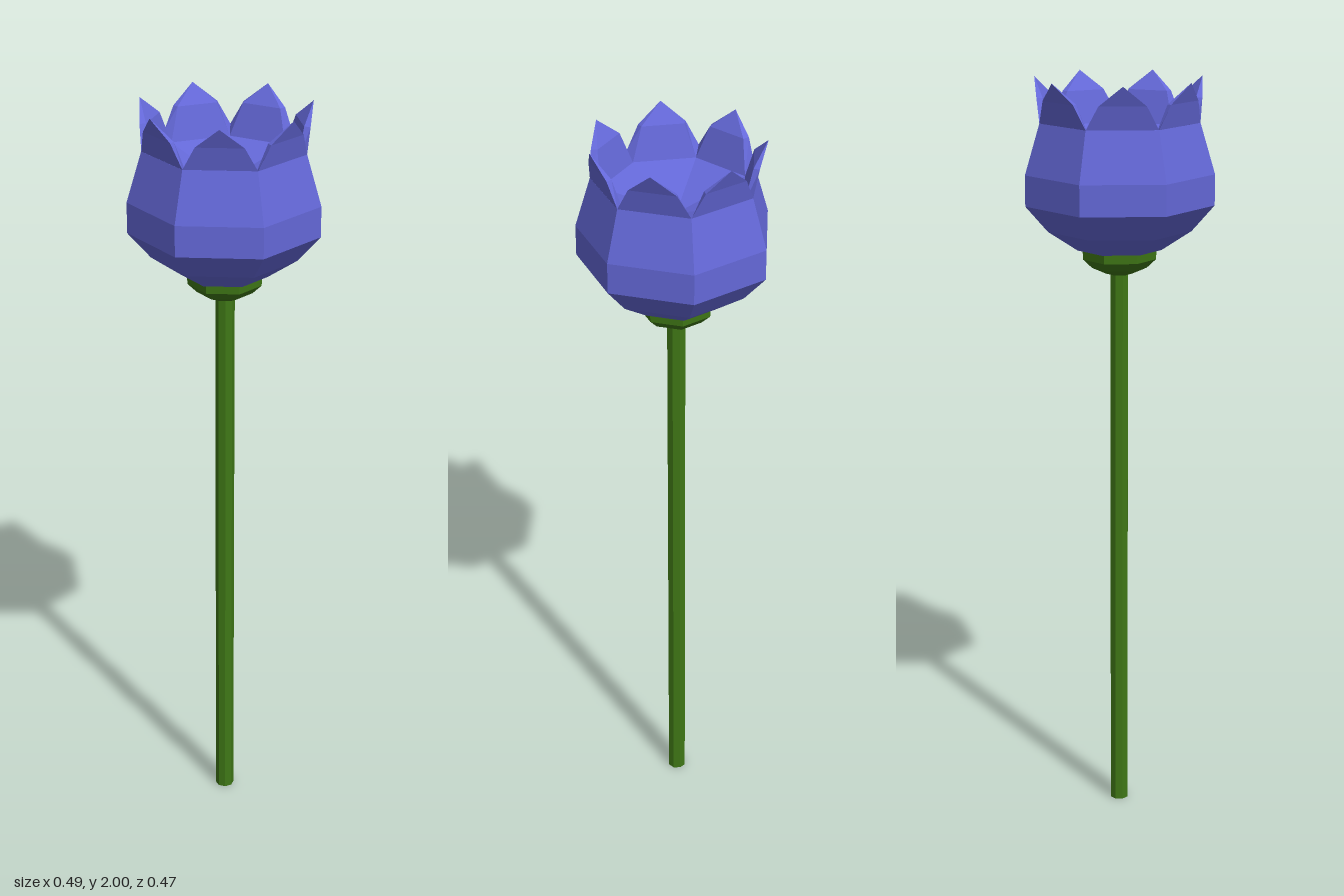
import * as THREE from 'three';

const SIDES = 7;
const CENTRE_Z = 0.011;

// Faceted solid of revolution with a corner pointing to the back
function faceted(profile, sides, material, name) {
  const points = profile.map(([r, y]) => new THREE.Vector2(r, y));
  const mesh = new THREE.Mesh(new THREE.LatheGeometry(points, sides, Math.PI), material);
  mesh.name = name;
  return mesh;
}

// Pointed petal end, outer side facing +z, built from left/right corner pairs
function petalTipGeometry() {
  const pair = (x, y, z) => [new THREE.Vector3(-x, y, z), new THREE.Vector3(x, y, z)];
  const [oL, oR] = pair(0.091, 1.89, 0.189);  // outer base
  const [mL, mR] = pair(0.06, 1.95, 0.203);   // outer shoulder
  const [iL, iR] = pair(0.08, 1.865, 0.166);  // inner base
  const [nL, nR] = pair(0.054, 1.95, 0.188);  // inner shoulder
  const tip = new THREE.Vector3(0, 2, 0.222);
  const corners = [];
  const tri = (...p) => corners.push(...p);
  const quad = (a, b, c, d) => { tri(a, b, c); tri(a, c, d); };
  quad(oL, oR, mR, mL);
  tri(mL, mR, tip);
  quad(iR, iL, nL, nR);
  tri(nR, nL, tip);
  quad(oR, iR, nR, mR);
  tri(mR, nR, tip);
  quad(iL, oL, mL, nL);
  tri(nL, mL, tip);
  const geometry = new THREE.BufferGeometry().setFromPoints(corners);
  geometry.computeVertexNormals();
  return geometry;
}

export function createModel() {
  const model = new THREE.Group();
  model.name = 'tulip';
  const blue = new THREE.MeshStandardMaterial({ color: 0x6468d8, flatShading: true });
  const green = new THREE.MeshStandardMaterial({ color: 0x3f7716, flatShading: true });

  // Stem
  const stem = new THREE.Mesh(new THREE.CylinderGeometry(0.025, 0.025, 1.52, 8), green);
  stem.name = 'stem';
  stem.position.y = 0.76;

  // Green base under the flower
  const calyx = faceted(
    [[0, 1.495], [0.035, 1.495], [0.073, 1.512], [0.097, 1.535], [0.099, 1.565], [0, 1.565]],
    SIDES, green, 'calyx');

  // Flower cup: outer wall, rim and shallow bowl inside
  const flower = new THREE.Group();
  flower.name = 'flower';
  flower.add(faceted(
    [[0, 1.555], [0.112, 1.56], [0.19, 1.612], [0.249, 1.68], [0.249, 1.76],
      [0.21, 1.89], [0.184, 1.865], [0, 1.8]],
    SIDES, blue, 'cup'));

  // Ring of petal tips
  const tipGeometry = petalTipGeometry();
  for (let i = 0; i < SIDES; i++) {
    const tip = new THREE.Mesh(tipGeometry, blue);
    tip.name = 'petalTip';
    tip.rotation.y = (i / SIDES) * Math.PI * 2;
    flower.add(tip);
  }

  model.add(stem, calyx, flower);
  for (const part of model.children) part.position.z = CENTRE_Z;
  return model;
}
